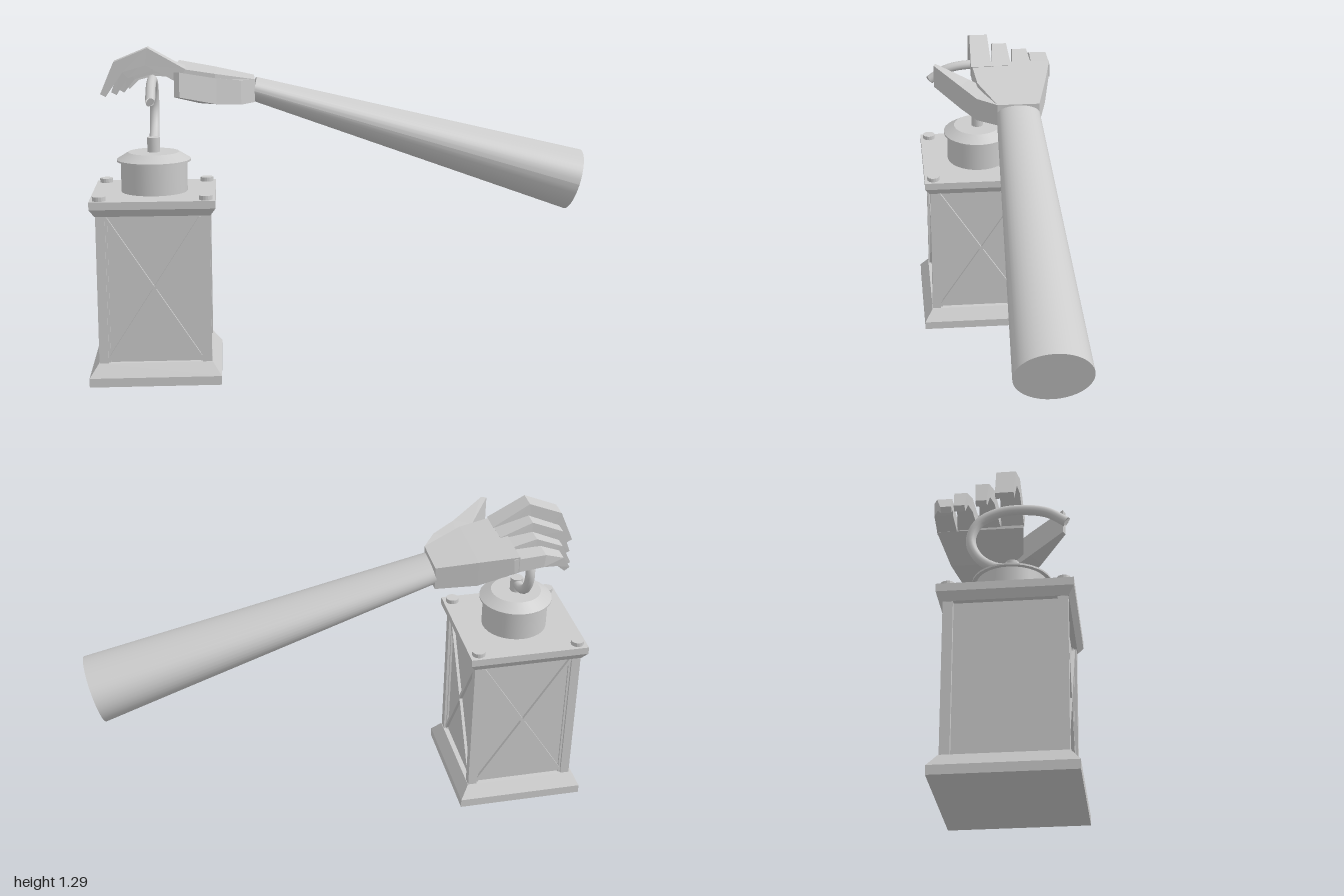
import * as THREE from 'three';

const smooth = new THREE.MeshStandardMaterial({ color: 0xcccccc, side: THREE.DoubleSide });
const flat = new THREE.MeshStandardMaterial({ color: 0xcccccc, flatShading: true, side: THREE.DoubleSide });

function add(parent, name, geometry, material, x = 0, y = 0, z = 0) {
  const mesh = new THREE.Mesh(geometry, material);
  mesh.name = name;
  mesh.position.set(x, y, z);
  parent.add(mesh);
  return mesh;
}

// Closed skin over four-cornered cross-sections
function loft(rings) {
  const n = rings[0].length, index = [];
  for (let i = 0; i < rings.length - 1; i++) {
    for (let j = 0; j < n; j++) {
      const a = i * n + j, b = i * n + (j + 1) % n;
      index.push(a, b, a + n, b, b + n, a + n);
    }
  }
  const e = (rings.length - 1) * n;
  for (let j = 1; j < n - 1; j++) index.push(0, j + 1, j, e, e + j, e + j + 1);
  const g = new THREE.BufferGeometry();
  g.setAttribute('position', new THREE.Float32BufferAttribute(rings.flat(2), 3));
  g.setIndex(index);
  const out = g.toNonIndexed();
  out.computeVertexNormals();
  return out;
}

// Sections: inner x, z, outer x, z, low y, high y
const slab = (sections) => loft(sections.map(([xa, za, xb, zb, lo, hi]) =>
  [[xa, lo, za], [xb, lo, zb], [xb, hi, zb], [xa, hi, za]]));

// Bent finger: points are x, y, z, half width, half thickness
function finger(points) {
  return loft(points.map(([x, y, z, w, h], i) => {
    const p = points[Math.max(i - 1, 0)], q = points[Math.min(i + 1, points.length - 1)];
    const len = Math.hypot(q[0] - p[0], q[1] - p[1]);
    const vx = (q[1] - p[1]) / len * h, vy = -(q[0] - p[0]) / len * h;
    return [[x - vx, y - vy, z - w], [x - vx, y - vy, z + w],
      [x + vx, y + vy, z + w], [x + vx, y + vy, z - w]];
  }));
}

const profile = (points) => points.map(([r, y]) => new THREE.Vector2(r, y));

// Square solid from a profile of half widths and heights
function squareLathe(points) {
  const g = new THREE.LatheGeometry(profile(points.map(([h, y]) => [h * Math.SQRT2, y])), 4, Math.PI / 4);
  const out = g.toNonIndexed();
  out.computeVertexNormals();
  return out;
}

function createLantern() {
  const lantern = new THREE.Group();
  lantern.name = 'lantern';
  lantern.position.set(-0.745, 0, 0.02);

  add(lantern, 'base', squareLathe([[0, 0], [0.255, 0], [0.255, 0.035], [0.22, 0.085], [0, 0.085]]), flat);
  add(lantern, 'lid', squareLathe([[0, 0.665], [0.22, 0.665], [0.24, 0.695], [0.24, 0.725], [0, 0.725]]), flat);
  add(lantern, 'panes', new THREE.BoxGeometry(0.4, 0.59, 0.4), flat, 0, 0.375, 0);

  // Corner posts and rivets
  for (const sx of [-1, 1]) for (const sz of [-1, 1]) {
    add(lantern, 'cornerPost', new THREE.BoxGeometry(0.036, 0.59, 0.036), flat, sx * 0.2, 0.375, sz * 0.2);
    add(lantern, 'rivet', new THREE.CylinderGeometry(0.026, 0.026, 0.018, 16), flat, sx * 0.203, 0.733, sz * 0.203);
  }

  // Crossed braces on three sides, the fourth is a plain door
  const slope = Math.atan2(0.565, 0.364), length = Math.hypot(0.565, 0.364);
  for (const turn of [0, 1, 2]) {
    const side = new THREE.Group();
    side.name = 'crossBrace';
    side.rotation.y = turn * Math.PI / 2;
    for (const s of [-1, 1]) {
      add(side, 'brace', new THREE.BoxGeometry(length, 0.013, 0.014), flat, 0, 0.375, 0.205).rotation.z = s * slope;
      add(side, 'paneEdge', new THREE.BoxGeometry(0.008, 0.58, 0.01), flat, s * 0.178, 0.375, 0.203);
    }
    lantern.add(side);
  }

  // Chimney and its sloping cap
  add(lantern, 'chimney', new THREE.CylinderGeometry(0.13, 0.13, 0.125, 32), smooth, 0, 0.7875, 0);
  const rim = [[0, 0.845], [0.145, 0.845], [0.145, 0.852], [0.1, 0.88], [0, 0.88]];
  for (let i = 0; i < rim.length - 1; i++) {
    add(lantern, 'chimneyCap', new THREE.LatheGeometry(profile([rim[i], rim[i + 1]]), 32), smooth);
  }
  add(lantern, 'stem', new THREE.CylinderGeometry(0.025, 0.025, 0.06, 16), smooth, 0, 0.907, 0);

  // Open hook curling up and over the hand
  const path = new THREE.CatmullRomCurve3([
    [0, 0.915], [-0.06, 0.92], [-0.125, 0.965], [-0.155, 1.04], [-0.125, 1.115],
    [-0.05, 1.155], [0.04, 1.162], [0.13, 1.145], [0.2, 1.1],
  ].map(([z, y]) => new THREE.Vector3(0, y, z)));
  add(lantern, 'hook', new THREE.TubeGeometry(path, 40, 0.019, 12), smooth);
  const tip = add(lantern, 'hookTip', new THREE.CircleGeometry(0.019, 12), smooth);
  tip.position.copy(path.getPoint(1));
  tip.lookAt(path.getPoint(1).add(path.getTangent(1)));
  return lantern;
}

function createHand() {
  const hand = new THREE.Group();
  hand.name = 'hand';
  add(hand, 'palm', slab([
    [-0.345, -0.205, -0.345, -0.035, 1.065, 1.155],
    [-0.5, -0.245, -0.5, 0.035, 1.085, 1.185],
    [-0.65, -0.278, -0.65, 0.05, 1.145, 1.21],
  ]), flat);
  add(hand, 'thumb', slab([
    [-0.42, -0.1, -0.345, -0.035, 1.065, 1.155],
    [-0.48, -0.02, -0.4, 0.045, 1.065, 1.16],
    [-0.56, 0.065, -0.495, 0.105, 1.075, 1.175],
    [-0.655, 0.2, -0.635, 0.208, 1.115, 1.21],
  ]), flat);

  // Knuckle, middle joint, last joint and tip of each finger
  const fingers = {
    indexFinger: [[-0.63, 1.18, 0.01, 0.043, 0.03], [-0.765, 1.255, 0.012, 0.037, 0.034],
      [-0.875, 1.215, 0.012, 0.036, 0.026], [-0.935, 1.105, 0.012, 0.034, 0.012]],
    middleFinger: [[-0.63, 1.178, -0.075, 0.04, 0.03], [-0.75, 1.222, -0.076, 0.029, 0.03],
      [-0.86, 1.18, -0.077, 0.025, 0.024], [-0.9, 1.1, -0.077, 0.02, 0.012]],
    ringFinger: [[-0.63, 1.175, -0.16, 0.04, 0.03], [-0.74, 1.2, -0.16, 0.029, 0.028],
      [-0.835, 1.165, -0.16, 0.024, 0.022], [-0.875, 1.1, -0.16, 0.02, 0.012]],
    littleFinger: [[-0.63, 1.172, -0.24, 0.038, 0.028], [-0.75, 1.18, -0.238, 0.035, 0.026],
      [-0.82, 1.155, -0.222, 0.028, 0.02], [-0.855, 1.11, -0.212, 0.02, 0.012]],
  };
  for (const [name, points] of Object.entries(fingers)) add(hand, name, finger(points), flat);
  return hand;
}

// Tapering sleeve, flattened more at the wrist than at the elbow
function createArm() {
  const length = 1.36;
  const g = new THREE.CylinderGeometry(1, 1, length, 40);
  const p = g.attributes.position;
  for (let i = 0; i < p.count; i++) {
    const t = p.getY(i) / length + 0.5;
    p.setX(i, p.getX(i) * THREE.MathUtils.lerp(0.125, 0.047, t));
    p.setZ(i, p.getZ(i) * THREE.MathUtils.lerp(0.145, 0.088, t));
  }
  g.computeVertexNormals();
  const arm = add(new THREE.Group(), 'arm', g, smooth, 0.302, 0.917, -0.12);
  arm.rotation.z = Math.atan2(1.305, 0.385);
  return arm;
}

export function createModel() {
  const model = new THREE.Group();
  model.name = 'handHoldingLantern';
  model.add(createLantern(), createHand(), createArm());
  return model;
}
